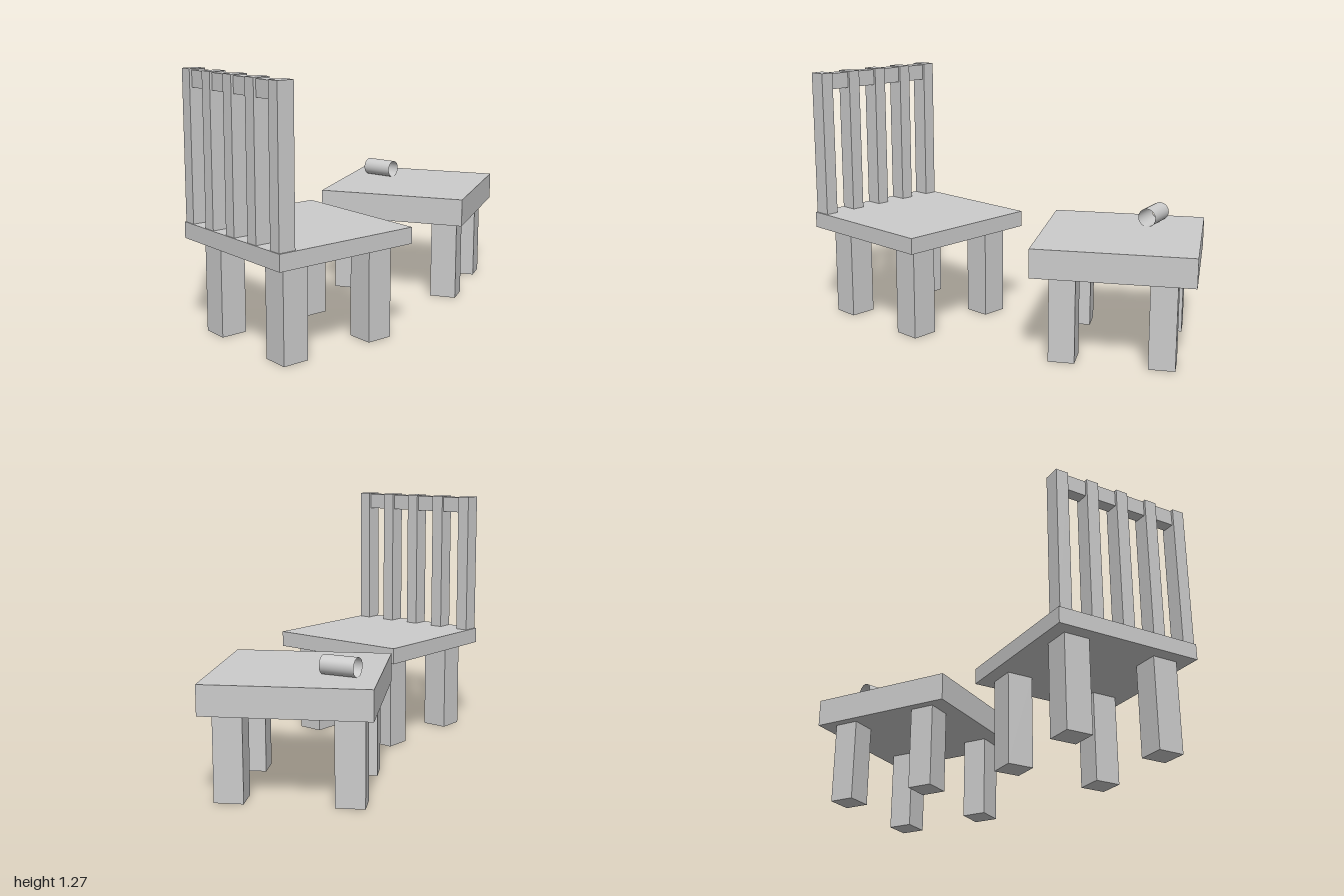
import * as THREE from 'three';

const grey = new THREE.MeshStandardMaterial({ color: 0xcccccc, flatShading: true });
const smoothGrey = new THREE.MeshStandardMaterial({ color: 0xcccccc, side: THREE.DoubleSide });

// Box with its underside at y
function box(parent, name, w, h, d, x, y, z) {
  const mesh = new THREE.Mesh(new THREE.BoxGeometry(w, h, d), grey);
  mesh.name = name;
  mesh.position.set(x, y + h / 2, z);
  parent.add(mesh);
}

// Four legs mirrored about the centre
function legs(parent, name, w, h, d, x, z) {
  for (const sx of [-1, 1]) for (const sz of [-1, 1]) box(parent, name, w, h, d, sx * x, 0, sz * z);
}

function createChair() {
  const chair = new THREE.Group();
  chair.name = 'chair';
  box(chair, 'chairSeat', 0.765, 0.08, 0.762, 0, 0.46, 0);
  legs(chair, 'chairLeg', 0.133, 0.46, 0.133, 0.246, 0.246);

  // Backrest: five slats joined by short top rails
  const count = 5, pitch = 0.171, slatW = 0.065, backZ = 0.334;
  for (let i = 0; i < count; i++) {
    const x = (i - (count - 1) / 2) * pitch;
    box(chair, 'backSlat', slatW, 0.73, 0.085, x, 0.54, backZ);
    if (i < count - 1) box(chair, 'topRail', pitch - slatW, 0.08, 0.06, x + pitch / 2, 1.185, backZ);
  }
  chair.position.set(-0.055, 0, 0.47);
  chair.rotation.y = -0.557;
  return chair;
}

function createTable() {
  const table = new THREE.Group();
  table.name = 'table';
  box(table, 'tableTop', 0.765, 0.14, 0.76, 0, 0.415, 0);
  legs(table, 'tableLeg', 0.135, 0.415, 0.125, 0.27, 0.233);
  table.position.set(0.197, 0, -0.62);
  return table;
}

// Open tube lying on the table
function createTube() {
  const tube = new THREE.Mesh(new THREE.CylinderGeometry(0.045, 0.045, 0.17, 32, 1, true), smoothGrey);
  tube.name = 'tube';
  tube.rotation.set(0, -0.33, Math.PI / 2);
  tube.position.set(-0.01, 0.6, -0.757);
  return tube;
}

export function createModel() {
  const model = new THREE.Group();
  model.name = 'chairAndTable';
  model.add(createChair(), createTable(), createTube());
  return model;
}
